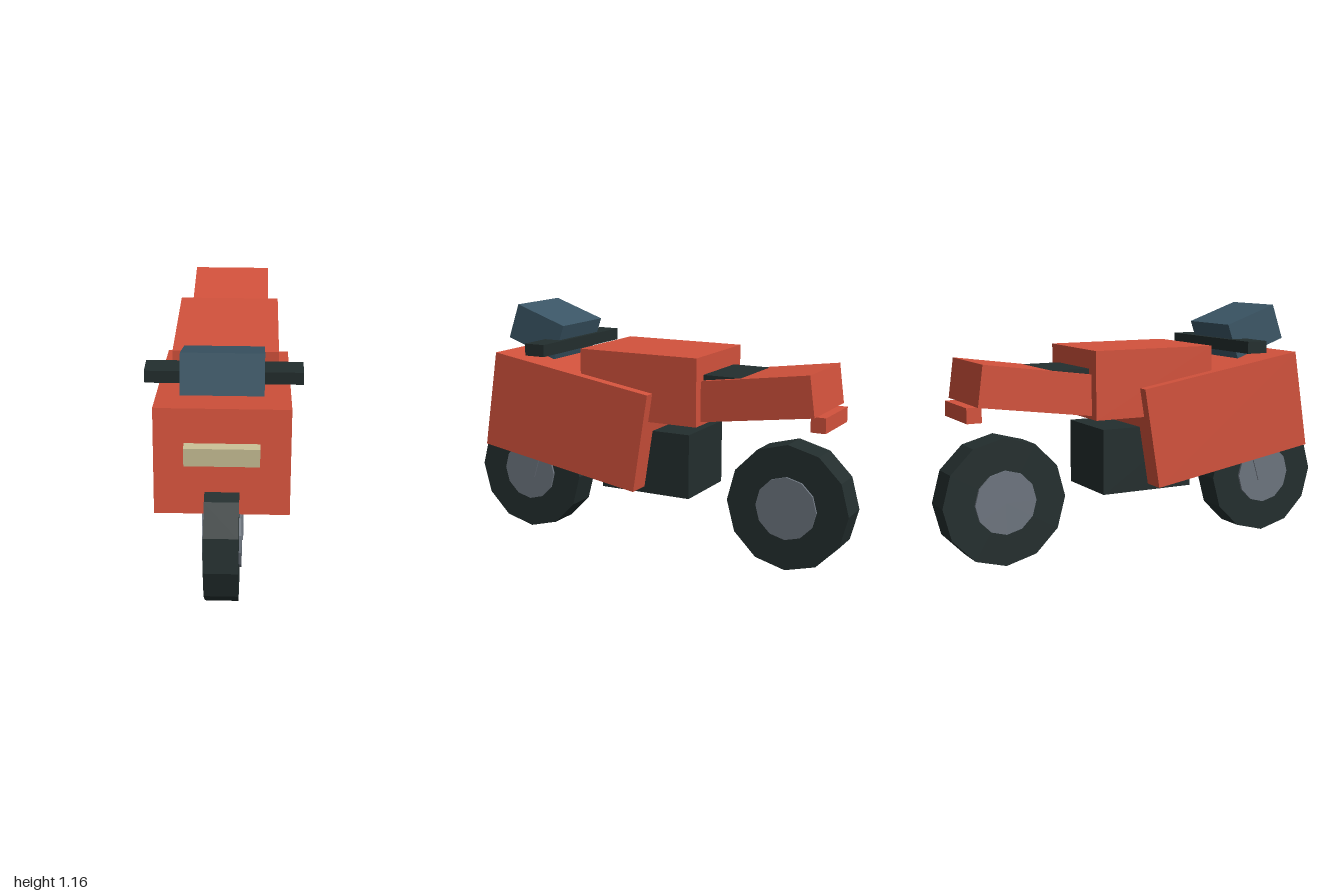
import * as THREE from 'three';

const material = (name, color) => {
  const m = new THREE.MeshStandardMaterial({ color, flatShading: true });
  m.name = name;
  return m;
};

export function createModel() {
  const red = material('red paint', 0xd3523c);
  const dark = material('dark rubber', 0x232e2e);
  const grey = material('grey metal', 0x6d757f);
  const glass = material('blue glass', 0x3b5666);
  const cream = material('cream lamp', 0xcbc297);

  const model = new THREE.Group();
  model.name = 'motorcycle';

  // Box from its size and centre, pitched about x
  const box = (name, mat, size, centre, pitch = 0) => {
    const mesh = new THREE.Mesh(new THREE.BoxGeometry(...size), mat);
    mesh.name = name;
    mesh.position.set(...centre);
    mesh.rotation.x = pitch;
    model.add(mesh);
  };

  // Twelve-sided disc with its axle along x
  const disc = (name, mat, radius, width) => {
    const geometry = new THREE.CylinderGeometry(radius, radius, width, 12);
    geometry.rotateZ(Math.PI / 2);
    const mesh = new THREE.Mesh(geometry, mat);
    mesh.name = name;
    return mesh;
  };

  // Wheels: tyre with a slightly wider hub
  for (const [name, z] of [['frontWheel', 0.705], ['rearWheel', -0.705]]) {
    const wheel = new THREE.Group();
    wheel.name = name;
    wheel.add(disc('tyre', dark, 0.297, 0.147), disc('hub', grey, 0.148, 0.168));
    wheel.position.set(0, 0.297, z);
    model.add(wheel);
  }

  // Fork legs on both sides of the front wheel
  for (const side of [-1, 1])
    box(side > 0 ? 'leftFork' : 'rightFork', grey, [0.03, 0.45, 0.07], [side * 0.075, 0.49, 0.64], -0.3);

  // Body
  box('fairing', red, [0.575, 0.471, 0.851], [0, 0.635, 0.357], -0.16);
  box('tank', red, [0.474, 0.315, 0.61], [0, 0.8225, -0.02]);
  box('engine', dark, [0.356, 0.305, 0.465], [0, 0.4575, -0.0275]);
  box('tail', red, [0.382, 0.187, 0.62], [0, 0.806, -0.55], 0.135);
  box('seat', dark, [0.33, 0.08, 0.34], [0, 0.855, -0.4]);
  box('tailLight', red, [0.284, 0.07, 0.07], [0, 0.715, -0.87]);

  // Front fittings
  box('headlight', cream, [0.318, 0.084, 0.1], [0, 0.743, 0.76]);
  box('handlebar', dark, [0.68, 0.057, 0.105], [0, 0.9715, 0.476]);
  box('windscreen', glass, [0.346, 0.175, 0.276], [0, 1.033, 0.58], -0.335);

  return model;
}
